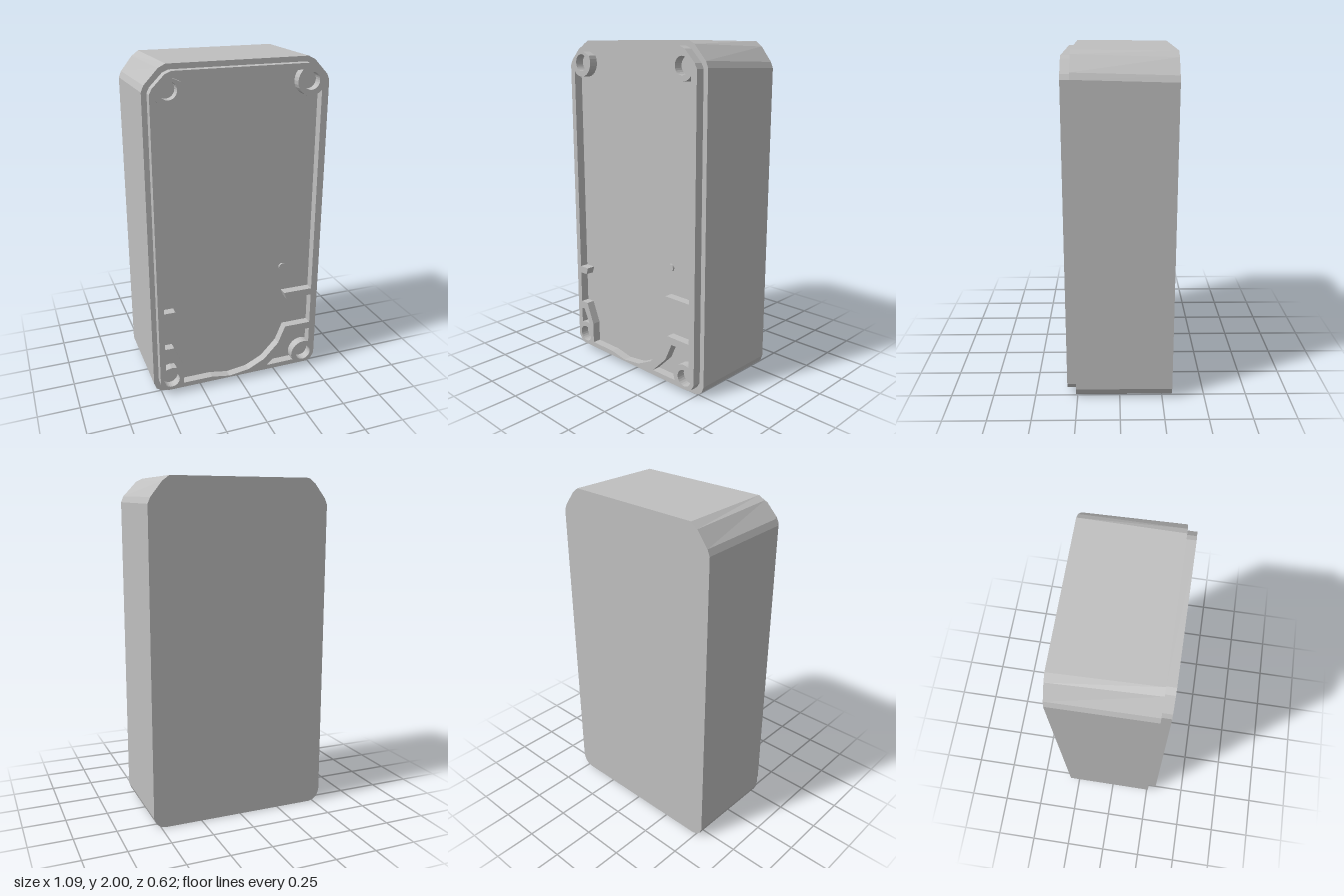
import * as THREE from 'three';

const BACK = -0.308, SEAT = 0.258, RIM = 0.31;

// Mirrors a half outline (bottom to top, on +x) into a closed loop of points
function mirrored(half) {
  const right = half.map(([x, y]) => new THREE.Vector2(x, y));
  const left = half.map(([x, y]) => new THREE.Vector2(-x, y)).reverse();
  return right.concat(left);
}

// Closed path through [x, y] points
function loop(points) {
  return new THREE.Path(points.map(([x, y]) => new THREE.Vector2(x, y)));
}

// Points along an arc, angles in degrees
function arc(cx, cy, r, from, to, n = 12) {
  return Array.from({ length: n + 1 }, (_, i) => {
    const a = THREE.MathUtils.degToRad(from + (to - from) * i / n);
    return [cx + r * Math.cos(a), cy + r * Math.sin(a)];
  });
}

function circle(x, y, r) {
  return loop(arc(x, y, r, 0, 360 * 23 / 24, 23));
}

function extrude(shape, z0, z1) {
  const g = new THREE.ExtrudeGeometry(shape, { depth: z1 - z0, bevelEnabled: false, curveSegments: 12 });
  return g.translate(0, 0, z0);
}

export function createModel() {
  const model = new THREE.Group();
  model.name = 'enclosureHalf';
  const grey = new THREE.MeshStandardMaterial({ color: 0xbfbfbf });
  grey.name = 'grey plastic';

  function add(name, geometry) {
    const mesh = new THREE.Mesh(geometry, grey);
    mesh.name = name;
    model.add(mesh);
  }

  // Main block with chamfered upper corners, its back outline slightly drafted
  const body = extrude(new THREE.Shape(mirrored([
    [0.475, 0], [0.505, 0.008], [0.53, 0.027], [0.545, 0.065],
    [0.545, 1.86], [0.53, 1.895], [0.45, 1.98], [0.41, 2],
  ])), BACK, SEAT);
  const p = body.attributes.position;
  for (let i = 0; i < p.count; i++) {
    if (p.getZ(i) > 0) continue;
    const x = p.getX(i), y = p.getY(i);
    if (y > 1.8) p.setY(i, y - (y > 1.99 ? 0.005 : 0.015));
    p.setX(i, Math.abs(x) < 0.5 && y > 1.9 ? x * 1.025 : x * 0.997);
  }
  body.computeVertexNormals();
  add('body', body);

  // Raised rim with screw bosses, ribs and lower brackets around a shallow recess
  const rim = new THREE.Shape(mirrored([
    [0.465, 0.035], [0.495, 0.05], [0.515, 0.085],
    [0.515, 1.855], [0.5, 1.885], [0.43, 1.955], [0.395, 1.97],
  ]));
  rim.holes.push(loop([
    // left wall, from bracket over rib to the upper boss
    [-0.37, 0.065], [-0.37, 0.195], [-0.425, 0.325], [-0.48, 0.325],
    [-0.48, 0.525], [-0.425, 0.525], [-0.41, 0.568], [-0.48, 0.568],
    ...arc(-0.415, 1.87, 0.083, 218, 390), [-0.395, 1.935],
    // right wall, from the upper boss down over rib to bracket
    [0.355, 1.935], ...arc(0.41, 1.87, 0.083, 150, 322),
    [0.475, 0.568], [0.29, 0.568], [0.307, 0.525], [0.475, 0.525],
    [0.475, 0.325], [0.305, 0.325],
    // curved lower edge
    [0.26, 0.215], [0.165, 0.115], [0.06, 0.063], [-0.07, 0.045], [-0.185, 0.065],
  ]));
  // Pockets beside the lower bosses
  rim.holes.push(loop([
    [0.34, 0.28], [0.475, 0.28], [0.475, 0.18],
    ...arc(0.44, 0.105, 0.083, 75, 208), [0.185, 0.065], [0.29, 0.17],
  ]));
  rim.holes.push(loop([
    [-0.48, 0.275], [-0.46, 0.28], [-0.41, 0.185], [-0.445, 0.188], [-0.48, 0.18],
  ]));
  // Screw holes
  for (const [x, y] of [[-0.415, 1.87], [0.41, 1.87], [-0.445, 0.105], [0.44, 0.105]]) {
    rim.holes.push(circle(x, y, 0.05));
  }
  add('rim', extrude(rim, SEAT, RIM));

  // Small locating stud on the recess floor
  const stud = new THREE.CylinderGeometry(0.022, 0.022, 0.012, 20);
  stud.rotateX(Math.PI / 2).translate(0.29, 0.73, SEAT + 0.006);
  add('stud', stud);

  return model;
}
